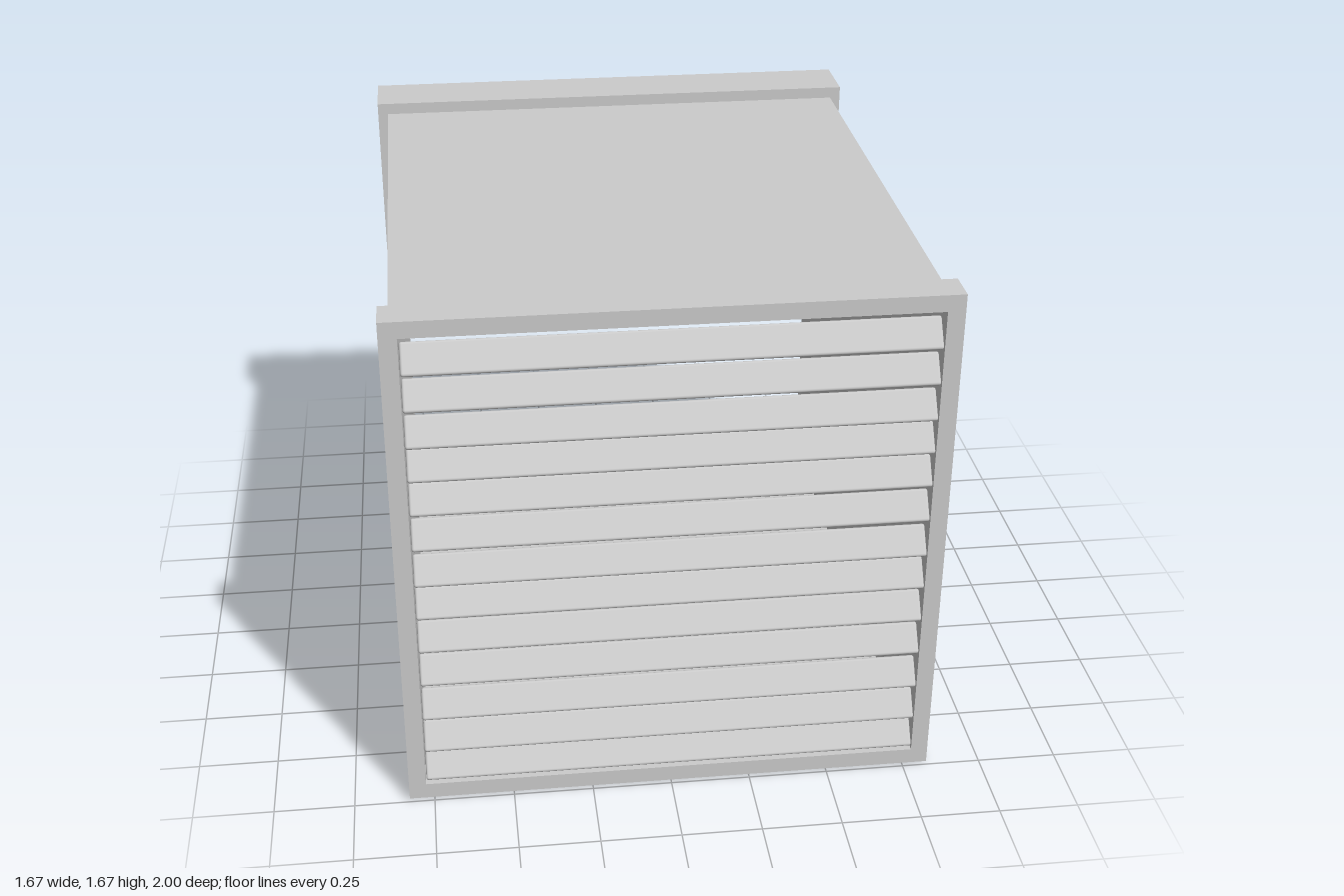
import * as THREE from 'three';
import { RoundedBoxGeometry } from 'three/addons/geometries/RoundedBoxGeometry.js';

const material = new THREE.MeshStandardMaterial({ color: 0xcccccc });

// Shared clear opening running through the whole duct
const OPEN = { halfWidth: 0.775, bottom: 0.06, top: 1.612 };

function rectangle(path, halfWidth, bottom, top) {
  path.moveTo(-halfWidth, bottom);
  path.lineTo(halfWidth, bottom);
  path.lineTo(halfWidth, top);
  path.lineTo(-halfWidth, top);
  path.closePath();
  return path;
}

// Rectangular tube from zBack to zFront
function sleeve(name, halfWidth, bottom, top, zBack, zFront) {
  const shape = rectangle(new THREE.Shape(), halfWidth, bottom, top);
  shape.holes.push(rectangle(new THREE.Path(), OPEN.halfWidth, OPEN.bottom, OPEN.top));
  const geometry = new THREE.ExtrudeGeometry(shape, { depth: zFront - zBack, bevelEnabled: false });
  geometry.translate(0, 0, zBack);
  const mesh = new THREE.Mesh(geometry, material);
  mesh.name = name;
  return mesh;
}

export function createModel() {
  const group = new THREE.Group();
  group.name = 'louveredDuct';

  // Duct body with a wider collar behind and a frame in front
  group.add(sleeve('ductBody', 0.8, 0.04, 1.632, -0.795, 0.885));
  group.add(sleeve('rearCollar', 0.835, 0, 1.67, -1, -0.795));
  group.add(sleeve('frontFrame', 0.828, 0.008, 1.664, 0.885, 0.994));

  // Thin louvers with rounded edges, sloping down towards the front
  const louvers = new THREE.Group();
  louvers.name = 'louvers';
  const louverGeometry = new RoundedBoxGeometry(1.545, 0.018, 0.099, 3, 0.008);
  const heights = [0.118, 0.228, 0.35, 0.478, 0.6, 0.72, 0.836, 0.96, 1.08, 1.193, 1.303, 1.42, 1.535];
  heights.forEach((y, i) => {
    const louver = new THREE.Mesh(louverGeometry, material);
    louver.name = `louver${i + 1}`;
    louver.position.set(0, y, 0.967);
    louver.rotation.x = THREE.MathUtils.degToRad(55);
    louvers.add(louver);
  });
  group.add(louvers);

  return group;
}
